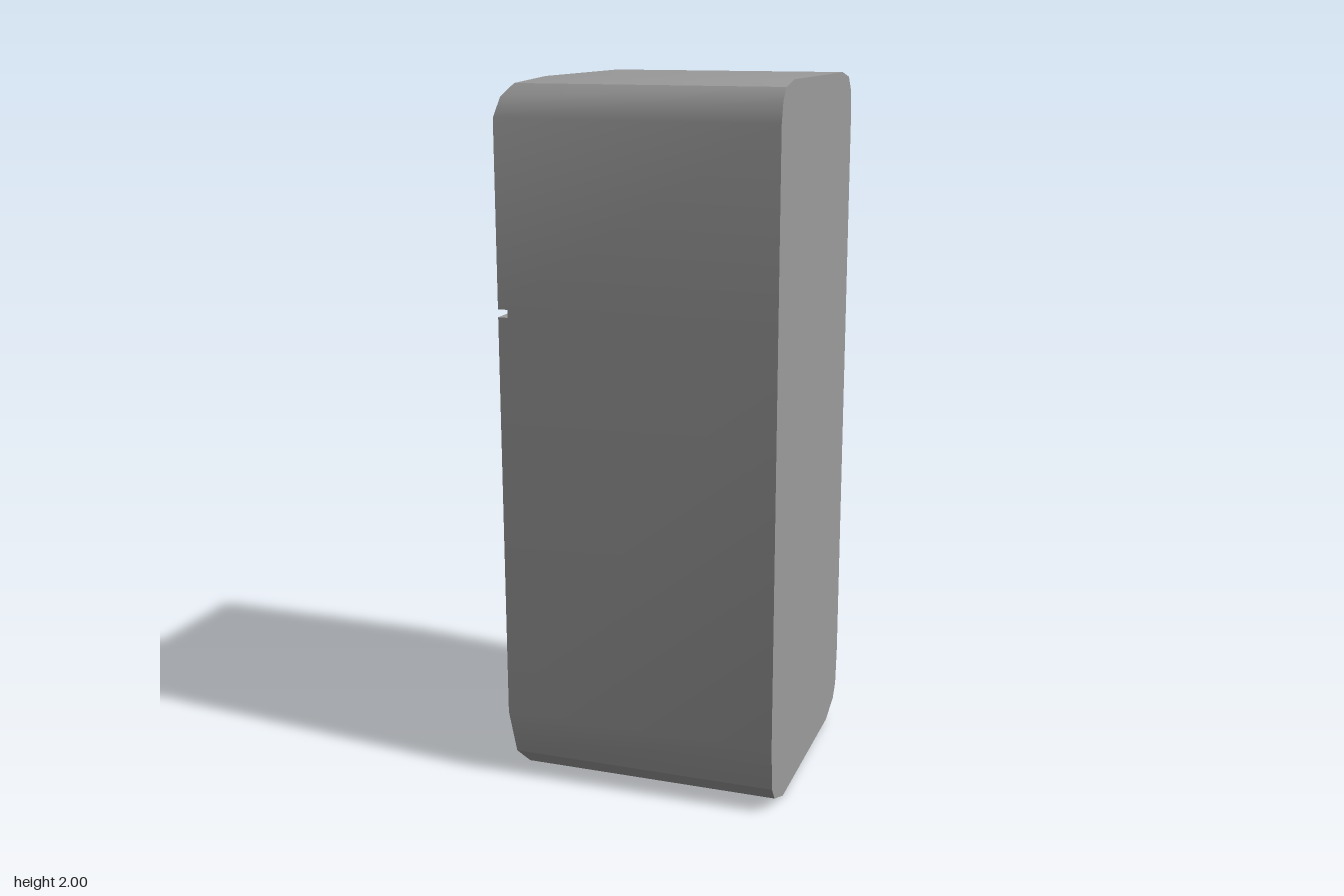
import * as THREE from 'three';
import { toCreasedNormals } from 'three/addons/utils/BufferGeometryUtils.js';

const material = new THREE.MeshStandardMaterial({ color: 0x9c9c9c });

// Skins a stack of equal-length rings, each counter-clockwise seen from the last one, and caps both ends
function loft(rings) {
  const n = rings[0].length;
  const index = [];
  for (let r = 0; r < rings.length - 1; r++) {
    for (let i = 0; i < n; i++) {
      const j = (i + 1) % n;
      const a = r * n + i, b = r * n + j;
      index.push(a, b, b + n, a, b + n, a + n);
    }
  }
  const last = (rings.length - 1) * n;
  for (let i = 1; i < n - 1; i++) {
    index.push(0, i + 1, i, last, last + i, last + i + 1);
  }
  const geometry = new THREE.BufferGeometry();
  geometry.setAttribute('position', new THREE.Float32BufferAttribute(rings.flat(2), 3));
  geometry.setIndex(index);
  return toCreasedNormals(geometry, 0.47);
}

// Cabinet: rectangles stacked upwards as [height, half width, door side x, lift at -z]
function cabinet() {
  const levels = [
    [0.0, 0.26, -0.27, 0.01],
    [0.035, 0.35, -0.327, 0.01],
    [0.075, 0.378, -0.355, 0.01],
    [0.2, 0.39, -0.373, 0],
    // Slot between the two doors
    [1.36, 0.39, -0.373, 0],
    [1.36, 0.39, -0.345, 0],
    [1.382, 0.39, -0.345, 0],
    [1.382, 0.39, -0.373, 0],
    // Rounded top
    [1.895, 0.39, -0.373, 0],
    [1.95, 0.377, -0.356, 0],
    [1.984, 0.35, -0.327, 0],
    [2.0, 0.27, -0.27, 0],
  ];
  const back = 0.416;
  return loft(levels.map(([y, w, x, lift]) => [
    [x, y, w], [back, y, w], [back, y + lift, -w], [x, y + lift, -w],
  ]));
}

// Handle: a tapered section swept between an outer and an inner outline
function handle() {
  const middle = -0.176;
  // Half outline as [outer x, outer reach, inner x, inner reach]
  const half = [
    [-0.366, 0.12, -0.366, 0.086],
    [-0.407, 0.099, -0.376, 0.082],
    [-0.418, 0.075, -0.379, 0.078],
  ];
  const stations = [
    ...half.map(([ox, oz, ix, iz]) => [ox, middle - oz, ix, middle - iz]),
    ...half.toReversed().map(([ox, oz, ix, iz]) => [ox, middle + oz, ix, middle + iz]),
  ];
  const section = [
    [0, 0.008], [0, -0.008], [0.7, -0.014],
    [1, -0.004], [1, 0.004], [0.7, 0.014],
  ];
  return loft(stations.map(([ox, oz, ix, iz]) => section.map(([t, y]) => [
    THREE.MathUtils.lerp(ox, ix, t), y, THREE.MathUtils.lerp(oz, iz, t),
  ])));
}

export function createModel() {
  const group = new THREE.Group();
  group.name = 'refrigerator';

  const body = new THREE.Mesh(cabinet(), material);
  body.name = 'cabinet';
  group.add(body);

  const grip = handle();
  for (const [name, y] of [['upperDoorHandle', 1.513], ['lowerDoorHandle', 1.238]]) {
    const mesh = new THREE.Mesh(grip, material);
    mesh.name = name;
    mesh.position.y = y;
    group.add(mesh);
  }
  return group;
}
